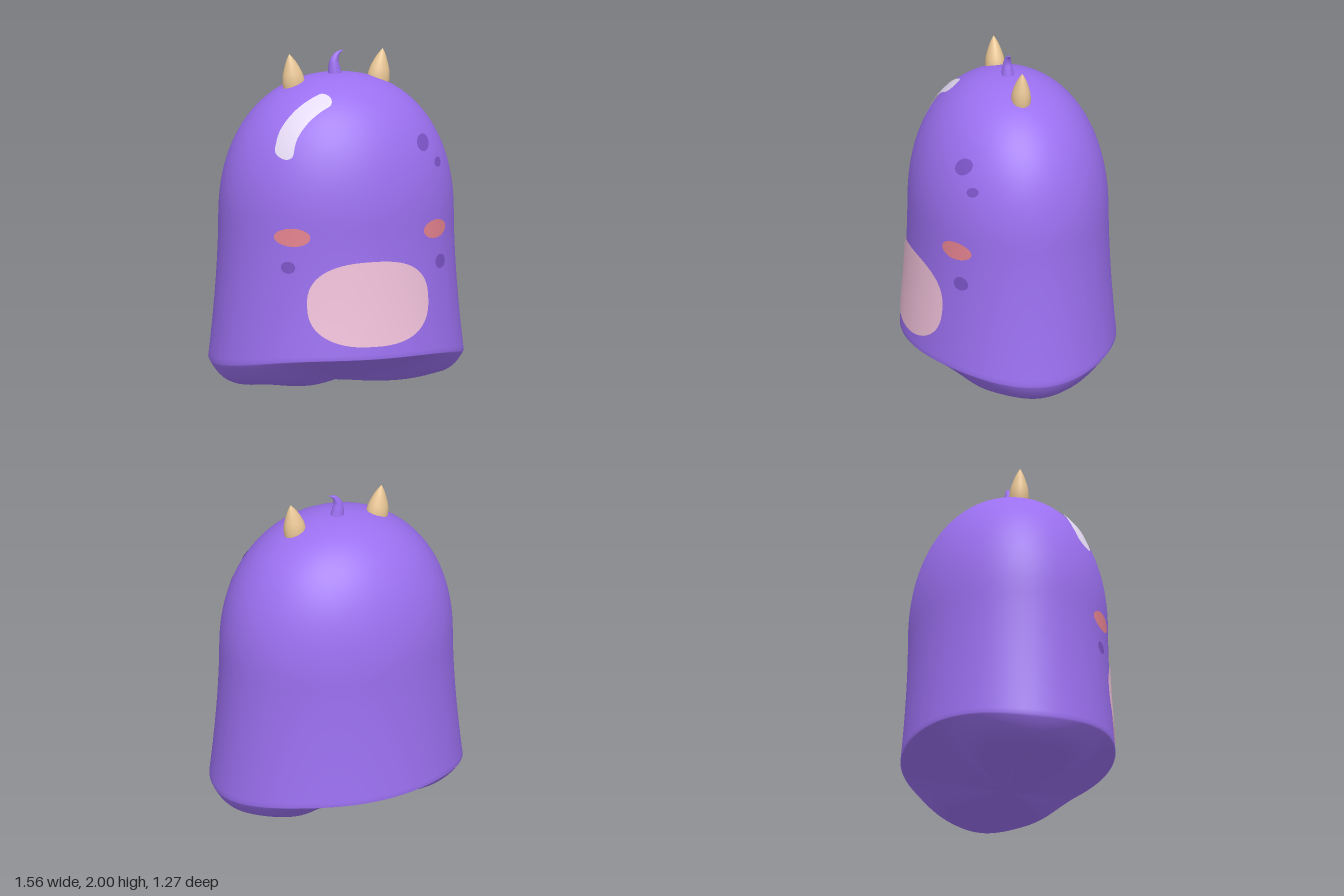
import * as THREE from 'three';
import { mergeVertices } from 'three/addons/utils/BufferGeometryUtils.js';

const DEPTH = 0.82; // body depth relative to its width
const { sin, cos, pow, sqrt, abs, sign, max, min, PI } = Math;

// Smooth surface from a rule (u, v) -> [x, y, z], seams welded
function surface(rule, nu, nv) {
  const geo = new THREE.PlaneGeometry(1, 1, nu, nv);
  const p = geo.attributes.position;
  for (let i = 0; i < p.count; i++) {
    const u = min(1, max(0, p.getX(i) + 0.5));
    const v = min(1, max(0, p.getY(i) + 0.5));
    p.setXYZ(i, ...rule(u, v));
  }
  geo.deleteAttribute('uv');
  geo.deleteAttribute('normal');
  const welded = mergeVertices(geo, 1e-5);
  welded.computeVertexNormals();
  return welded;
}

// Half width of the body at height y: flared skirt below, rounded dome above
function bodyRadius(y) {
  if (y < 1) return 0.72 + 0.06 * pow((1 - y) / 0.83, 1.7);
  return 0.72 * pow(max(0, 1 - pow((y - 1) / 0.86, 2.2)), 1 / 2.2);
}

function bodyPoint(u, v) {
  const a = u * 2 * PI;
  const side = pow(sin(a), 4);
  const rim = 0.15 + 0.07 * (1 - side);
  let R, y;
  if (v < 0.3) {
    // Keel-shaped underside with radial folds
    const r = 1 - pow(1 - v / 0.3, 1.5);
    R = r * bodyRadius(rim);
    y = rim * pow(r, 1.6 + 10 * side) + 0.012 * sin(PI * r) * (1 - cos(8 * a));
  } else if (v < 0.65) {
    y = rim + (1 - rim) * (v - 0.3) / 0.35;
    R = bodyRadius(y);
  } else {
    const t = min(1, (v - 0.65) / 0.35) * PI / 2;
    y = 1 + 0.86 * pow(max(0, sin(t)), 2 / 2.2);
    R = 0.72 * pow(max(0, cos(t)), 2 / 2.2);
  }
  return [R * sin(a), y, R * cos(a) * DEPTH];
}

// Lay a flat front-view point onto the front of the body
function onBody(x, y) {
  const R = bodyRadius(y);
  return [x * 1.004, y + 0.002, DEPTH * sqrt(max(0, R * R - x * x)) + 0.008];
}

// Rounded patch; power above 2 makes it squarer
function ovalPatch(cx, cy, rx, ry, power = 2) {
  const round = (c) => sign(c) * pow(abs(c), 2 / power);
  return surface((u, v) => {
    const a = v * 2 * PI;
    return onBody(cx + rx * u * round(cos(a)), cy + ry * u * round(sin(a)));
  }, 10, 64);
}

// Curved stripe with rounded ends
function stripePatch(points, w0, w1) {
  const curve = new THREE.CatmullRomCurve3(points.map(([x, y]) => new THREE.Vector3(x, y, 0)));
  return surface((u, v) => {
    const s = (1 - cos(u * PI)) / 2;
    const p = curve.getPointAt(s), t = curve.getTangentAt(s);
    const end = min(1, min(s, 1 - s) / 0.09);
    const w = (w0 + (w1 - w0) * s) * sqrt(max(0, 1 - (1 - end) ** 2)) * (2 * v - 1);
    return onBody(p.x - t.y * w, p.y + t.x * w);
  }, 48, 8);
}

// Horn bulging at the base and leaning outward to its tip
function hornGeometry(side) {
  const profile = new THREE.SplineCurve([
    [0.056, 0], [0.063, 0.05], [0.059, 0.1], [0.042, 0.155], [0.022, 0.2], [0, 0.235],
  ].map(([r, y]) => new THREE.Vector2(r, y))).getPoints(24);
  profile[24].x = 0;
  const geo = new THREE.LatheGeometry(profile, 32);
  const p = geo.attributes.position;
  for (let i = 0; i < p.count; i++) {
    const y = p.getY(i), t = y / 0.235;
    p.setXYZ(i, side * (0.27 + 0.03 * t * t) + p.getX(i) * 1.08, 1.755 + y, p.getZ(i) * 0.92);
  }
  geo.computeVertexNormals();
  return geo;
}

// Tapering curl of hair
function tuftGeometry() {
  const path = new THREE.CatmullRomCurve3([
    [-0.005, 1.83], [-0.012, 1.89], [-0.012, 1.935], [0.01, 1.975], [0.05, 1.995],
  ].map(([x, y]) => new THREE.Vector3(x, y, 0)));
  const rings = 32, sides = 16;
  const geo = new THREE.TubeGeometry(path, rings, 0.045, sides);
  const p = geo.attributes.position, q = new THREE.Vector3();
  for (let i = 0; i < p.count; i++) {
    const t = Math.floor(i / (sides + 1)) / rings;
    const c = path.getPointAt(t);
    q.fromBufferAttribute(p, i).sub(c).multiplyScalar(1 - pow(t, 1.4));
    p.setXYZ(i, c.x + q.x, c.y + q.y, q.z * 0.9);
  }
  geo.computeVertexNormals();
  return geo;
}

export function createModel() {
  const model = new THREE.Group();
  model.name = 'monster';
  const material = (color, side = THREE.FrontSide) => new THREE.MeshStandardMaterial({ color, side });
  const purple = material(0x9b70f0);
  const bone = material(0xeac796);
  const pink = material(0xf3c3dc, THREE.DoubleSide);
  const blush = material(0xe88592, THREE.DoubleSide);
  const violet = material(0x7c55c9, THREE.DoubleSide);
  const pale = material(0xe4daf4, THREE.DoubleSide);

  const add = (name, geometry, mat) => {
    const mesh = new THREE.Mesh(geometry, mat);
    mesh.name = name;
    model.add(mesh);
  };

  add('body', surface(bodyPoint, 128, 80), purple);
  add('tuft', tuftGeometry(), purple);
  add('belly', ovalPatch(0, 0.548, 0.387, 0.255, 2.5), pink);

  // Paired horns and cheeks
  for (const [name, side] of [['left', 1], ['right', -1]]) {
    add(name + 'Horn', hornGeometry(side), bone);
    add(name + 'Cheek', ovalPatch(side * 0.455, 0.957, 0.092, 0.055), blush);
  }

  // Skin spots
  [[0.402, 1.473, 0.049], [0.505, 1.345, 0.029], [0.495, 0.755, 0.042], [-0.48, 0.775, 0.036]]
    .forEach(([x, y, r], i) => add('spot' + (i + 1), ovalPatch(x, y, r, r), violet));

  // Shine on the head
  add('shine', stripePatch([[-0.48, 1.42], [-0.43, 1.55], [-0.35, 1.645], [-0.26, 1.71], [-0.148, 1.762]], 0.045, 0.033), pale);

  return model;
}
